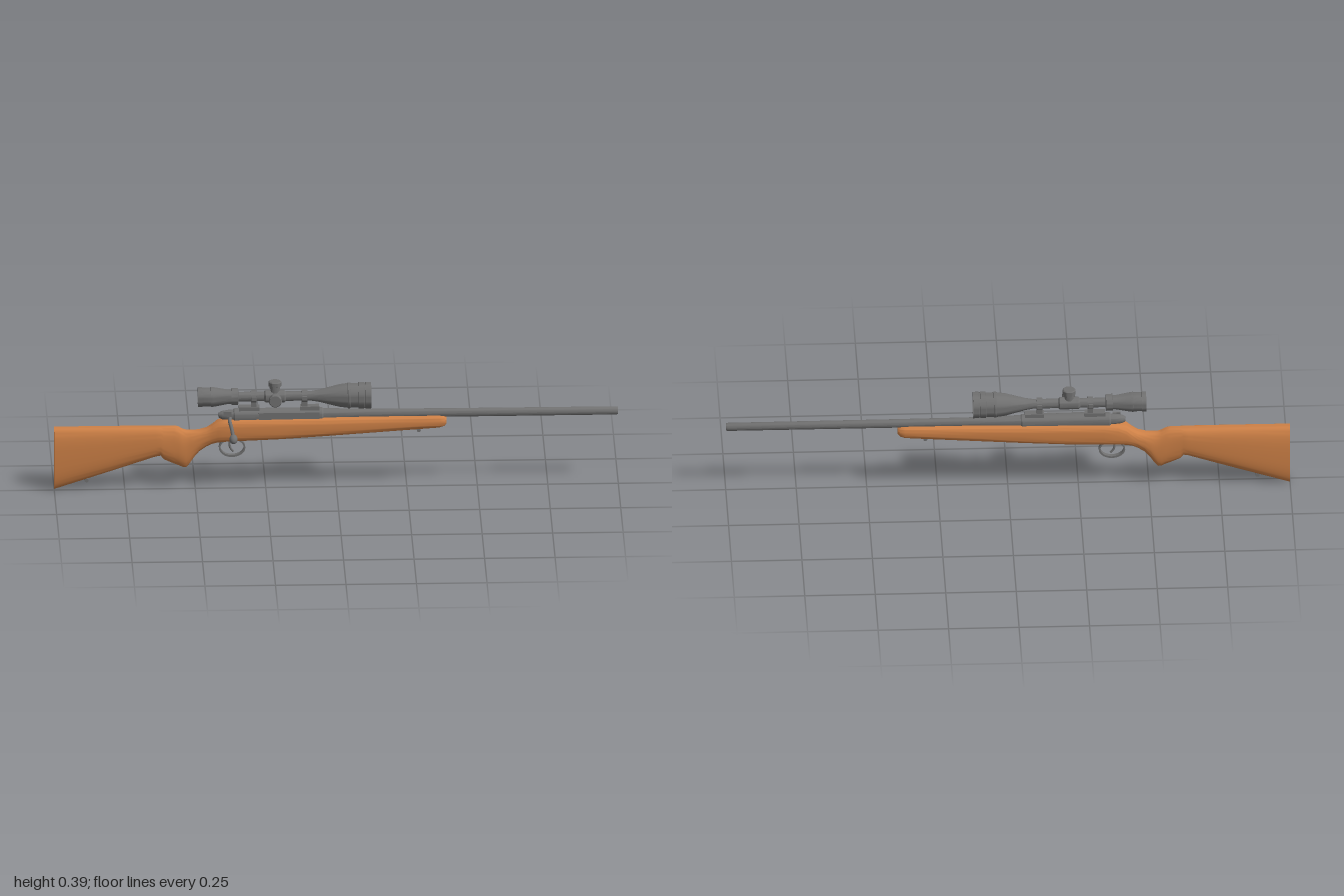
import * as THREE from 'three';
import { toCreasedNormals } from 'three/addons/utils/BufferGeometryUtils.js';

const metal = new THREE.MeshStandardMaterial({ color: 0x707070 });
const glass = new THREE.MeshStandardMaterial({ color: 0x484848 });
const wood = new THREE.MeshStandardMaterial({ color: 0xcd8046 });
const SCOPE_Y = 0.342, BORE_Y = 0.273;

export function createModel() {
  const model = new THREE.Group();
  const gun = new THREE.Group();
  gun.name = 'rifle';
  gun.position.z = -0.018;
  model.add(gun);

  const add = (name, geo, mat, x = 0, y = 0, z = 0) => {
    const mesh = new THREE.Mesh(geo, mat);
    mesh.name = name;
    mesh.position.set(x, y, z);
    gun.add(mesh);
    return mesh;
  };
  // Turned part: points are [position along axis, radius]
  const turned = (pts, seg = 32) => toCreasedNormals(
    new THREE.LatheGeometry(pts.map(([a, r]) => new THREE.Vector2(r, a)), seg), 0.5);
  const alongX = (name, pts, y, mat = metal) => add(name, turned(pts).rotateZ(-Math.PI / 2), mat, 0, y);
  const box = (name, x0, x1, y0, y1, depth, z = 0) =>
    add(name, new THREE.BoxGeometry(x1 - x0, y1 - y0, depth), metal, (x0 + x1) / 2, (y0 + y1) / 2, z);

  // Stock: rounded cross-sections [x, top, bottom, half width, squareness]
  add('stock', loft([
    [-1, 0.235, 0.004, 0.031, 2.9],
    [-0.8, 0.235, 0.069, 0.031, 2.8],
    [-0.64, 0.235, 0.122, 0.030, 2.6],
    [-0.622, 0.235, 0.125, 0.029, 2.6],
    [-0.612, 0.235, 0.111, 0.028, 2.5],
    [-0.575, 0.235, 0.094, 0.027, 2.5],
    [-0.56, 0.232, 0.088, 0.027, 2.4],
    [-0.545, 0.223, 0.081, 0.027, 2.4],
    [-0.532, 0.219, 0.079, 0.026, 2.4],
    [-0.52, 0.218, 0.093, 0.026, 2.4],
    [-0.505, 0.218, 0.116, 0.026, 2.3],
    [-0.485, 0.220, 0.140, 0.026, 2.3],
    [-0.46, 0.226, 0.158, 0.027, 2.4],
    [-0.44, 0.238, 0.168, 0.030, 2.6],
    [-0.42, 0.253, 0.174, 0.034, 2.9],
    [-0.39, 0.261, 0.178, 0.038, 3.3],
    [-0.34, 0.264, 0.181, 0.040, 3.6],
    [-0.2, 0.266, 0.187, 0.041, 3.8],
    [-0.05, 0.267, 0.196, 0.040, 3.8],
    [0.1, 0.267, 0.205, 0.036, 3.6],
    [0.3, 0.267, 0.217, 0.030, 3.4],
    [0.365, 0.267, 0.221, 0.028, 3.2],
    [0.383, 0.264, 0.226, 0.025, 3],
    [0.391, 0.258, 0.234, 0.018, 2.6],
  ]), wood);

  // Barrel with a bored muzzle, receiver and bolt
  alongX('barrel', [[-0.07, 0.022], [0, 0.0195], [0.12, 0.0165], [0.4, 0.0152], [0.995, 0.0145],
    [1, 0.0125], [1, 0.007], [0.96, 0.007], [0.96, 0]], BORE_Y);
  alongX('receiver', [[-0.365, 0], [-0.365, 0.023], [-0.36, 0.026], [-0.05, 0.026], [-0.045, 0.023], [-0.045, 0]], 0.271);
  box('ejectionPort', -0.275, -0.06, 0.262, 0.288, 0.022, 0.016);
  alongX('boltShroud', [[-0.418, 0], [-0.416, 0.009], [-0.405, 0.015], [-0.38, 0.019], [-0.36, 0.02], [-0.36, 0]], BORE_Y);
  box('safetyLever', -0.4, -0.372, 0.275, 0.291, 0.008, 0.016);
  const arm = new THREE.CatmullRomCurve3([[-0.375, 0.268, 0.012], [-0.378, 0.262, 0.034],
    [-0.372, 0.24, 0.05], [-0.367, 0.215, 0.064]].map(p => new THREE.Vector3(...p)));
  add('boltHandle', new THREE.TubeGeometry(arm, 16, 0.0065, 10), metal);
  const knob = add('boltKnob', new THREE.SphereGeometry(0.0145, 20, 14), metal, -0.366, 0.207, 0.07);
  knob.scale.y = 1.25;
  knob.rotation.x = -0.8;

  // Trigger and its guard
  const guard = new THREE.Shape().absellipse(-0.369, 0.152, 0.047, 0.035, 0, Math.PI * 2);
  guard.holes.push(new THREE.Path().absellipse(-0.369, 0.153, 0.041, 0.029, 0, Math.PI * 2, true));
  const guardGeo = new THREE.ExtrudeGeometry(guard, { depth: 0.016, bevelEnabled: false, curveSegments: 24 });
  add('triggerGuard', toCreasedNormals(guardGeo.translate(0, 0, -0.008), 0.5), metal);
  const trigger = new THREE.CatmullRomCurve3([[-0.372, 0.185, 0], [-0.378, 0.165, 0],
    [-0.374, 0.148, 0], [-0.364, 0.136, 0]].map(p => new THREE.Vector3(...p)));
  add('trigger', new THREE.TubeGeometry(trigger, 12, 0.004, 8), metal);

  // Sling studs
  for (const [x, y] of [[-0.885, 0.037], [0.293, 0.212]]) {
    add('slingStud', new THREE.CylinderGeometry(0.004, 0.004, 0.02, 12), metal, x, y + 0.005);
    add('slingStudEye', new THREE.CylinderGeometry(0.007, 0.007, 0.018, 16).rotateX(Math.PI / 2), metal, x, y - 0.002);
  }

  // Scope tube with hollow bells at both ends
  alongX('scopeBody', [
    [-0.47, 0], [-0.47, 0.028], [-0.49, 0.03], [-0.49, 0.035], [-0.475, 0.036], [-0.474, 0.034], [-0.445, 0.034],
    [-0.444, 0.036], [-0.435, 0.035], [-0.38, 0.025], [-0.372, 0.025], [-0.371, 0.03], [-0.348, 0.03],
    [-0.346, 0.017], [-0.256, 0.017], [-0.25, 0.022], [-0.184, 0.022], [-0.178, 0.017], [-0.09, 0.017],
    [-0.06, 0.022], [0.01, 0.04], [0.04, 0.044], [0.042, 0.046], [0.05, 0.046], [0.051, 0.044], [0.078, 0.044],
    [0.079, 0.047], [0.098, 0.047], [0.099, 0.045], [0.103, 0.045], [0.104, 0.047], [0.124, 0.047],
    [0.124, 0.041], [0.105, 0.039]], SCOPE_Y);
  alongX('objectiveLens', [[0.106, 0.04], [0.109, 0.02], [0.11, 0]], SCOPE_Y, glass);
  alongX('eyepieceLens', [[-0.474, 0], [-0.473, 0.015], [-0.471, 0.0285]], SCOPE_Y, glass);

  // Adjustment turrets, on top and on the bolt side
  const turret = [[0, 0.016], [0.03, 0.016], [0.03, 0.019], [0.038, 0.019], [0.04, 0.023], [0.054, 0.023], [0.057, 0.02], [0.057, 0]];
  add('topTurret', turned(turret), metal, -0.217, SCOPE_Y);
  add('sideTurret', turned(turret).rotateX(Math.PI / 2), metal, -0.217, SCOPE_Y);

  // Scope mounts: base, pedestal, clamp ring and clamp screws
  for (const [x, b0, b1] of [[-0.292, -0.345, -0.272], [-0.112, -0.128, -0.06]]) {
    box('mountBase', b0, b1, 0.288, 0.306, 0.03);
    box('mountPedestal', x - 0.01, x + 0.01, 0.3, 0.328, 0.024);
    alongX('mountRing', [[x - 0.01, 0.016], [x - 0.01, 0.022], [x + 0.01, 0.022], [x + 0.01, 0.016]], SCOPE_Y);
    for (const side of [-1, 1]) box('ringClamp', x - 0.008, x + 0.008, SCOPE_Y - 0.007, SCOPE_Y + 0.007, 0.01, side * 0.024);
  }
  return model;
}

// Skin a row of superellipse sections and cap both ends
function loft(stations, n = 40) {
  const pos = [], idx = [];
  for (const [x, top, bottom, half, power] of stations) {
    for (let i = 0; i < n; i++) {
      const a = (i / n) * Math.PI * 2, c = Math.cos(a), s = Math.sin(a);
      const bend = v => Math.sign(v) * Math.abs(v) ** (2 / power);
      pos.push(x, (top + bottom) / 2 + bend(s) * (top - bottom) / 2, bend(c) * half);
    }
  }
  const last = stations.length - 1;
  for (let k = 0; k < last; k++) {
    for (let i = 0; i < n; i++) {
      const a = k * n + i, b = k * n + (i + 1) % n;
      idx.push(a, a + n, b, b, a + n, b + n);
    }
  }
  for (const k of [0, last]) {
    const [x, top, bottom] = stations[k], centre = pos.length / 3;
    pos.push(x, (top + bottom) / 2, 0);
    for (let i = 0; i < n; i++) {
      const a = k * n + i, b = k * n + (i + 1) % n;
      idx.push(centre, ...(k ? [b, a] : [a, b]));
    }
  }
  const geo = new THREE.BufferGeometry();
  geo.setAttribute('position', new THREE.Float32BufferAttribute(pos, 3));
  geo.setIndex(idx);
  return toCreasedNormals(geo, 0.7);
}
